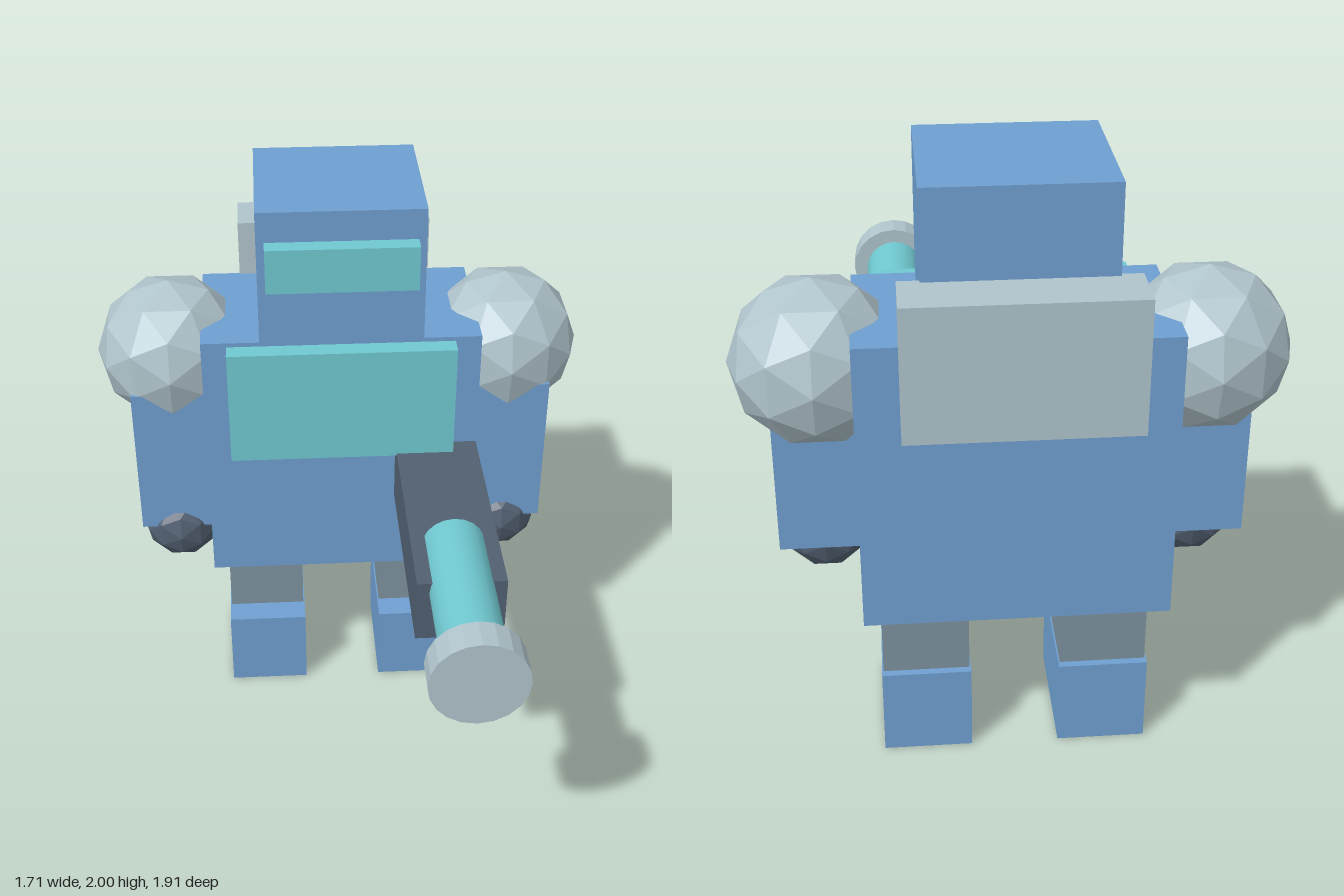
import * as THREE from 'three';

const paint = (name, color, flatShading = false) => {
  const m = new THREE.MeshStandardMaterial({ color, flatShading });
  m.name = name;
  return m;
};

export function createModel() {
  const blue = paint('armourBlue', 0x6f9fd0);
  const teal = paint('glowTeal', 0x70c8d0);
  const light = paint('lightMetal', 0xb0c4cc, true);
  const grey = paint('legGrey', 0x7d929e);
  const dark = paint('darkMetal', 0x526071, true);

  const robot = new THREE.Group();
  robot.name = 'robot';

  const add = (name, geometry, material, x, y, z) => {
    const mesh = new THREE.Mesh(geometry, material);
    mesh.name = name;
    mesh.position.set(x, y, z);
    robot.add(mesh);
    return mesh;
  };
  // Box given by its limits on each axis
  const box = (name, material, [x0, x1], [y0, y1], [z0, z1]) =>
    add(name, new THREE.BoxGeometry(x1 - x0, y1 - y0, z1 - z0), material,
      (x0 + x1) / 2, (y0 + y1) / 2, (z0 + z1) / 2);
  // Faceted ball
  const ball = (name, material, r, x, y, z) =>
    add(name, new THREE.IcosahedronGeometry(r, 1), material, x, y, z);
  // Cylinder lying along z
  const rod = (name, material, r, x, y, [z0, z1]) =>
    add(name, new THREE.CylinderGeometry(r, r, z1 - z0, 20).rotateX(Math.PI / 2),
      material, x, y, (z0 + z1) / 2);

  // Body and head
  box('torso', blue, [-0.48, 0.48], [0.565, 1.525], [-0.787, -0.27]);
  box('head', blue, [-0.28, 0.28], [1.525, 2], [-0.795, -0.265]);
  box('visor', teal, [-0.253, 0.253], [1.74, 1.895], [-0.28, -0.205]);
  box('chestPlate', teal, [-0.393, 0.39], [1.09, 1.51], [-0.28, -0.205]);
  box('backpack', light, [-0.345, 0.345], [1.305, 1.725], [-0.957, -0.78]);

  // Limbs, mirrored
  for (const [side, s] of [['left', 1], ['right', -1]]) {
    const span = (a, b) => (s > 0 ? [a, b] : [-b, -a]);
    ball(side + 'Shoulder', light, 0.264, s * 0.592, 1.371, -0.53);
    box(side + 'Arm', blue, span(0.455, 0.735), [0.74, 1.303], [-0.605, -0.307]);
    ball(side + 'Hand', dark, 0.142, s * 0.595, 0.707, -0.408);
    box(side + 'Leg', grey, span(0.148, 0.427), [0.3, 0.565], [-0.685, -0.37]);
    box(side + 'Foot', blue, span(0.143, 0.432), [0, 0.302], [-0.71, -0.275]);
  }

  // Forward cannon
  box('cannonBody', dark, [0.19, 0.478], [0.875, 1.098], [-0.275, 0.53]);
  rod('cannonBarrel', teal, 0.105, 0.335, 1.058, [0.28, 0.855]);
  rod('cannonMuzzle', light, 0.155, 0.335, 1.058, [0.852, 0.957]);

  return robot;
}
